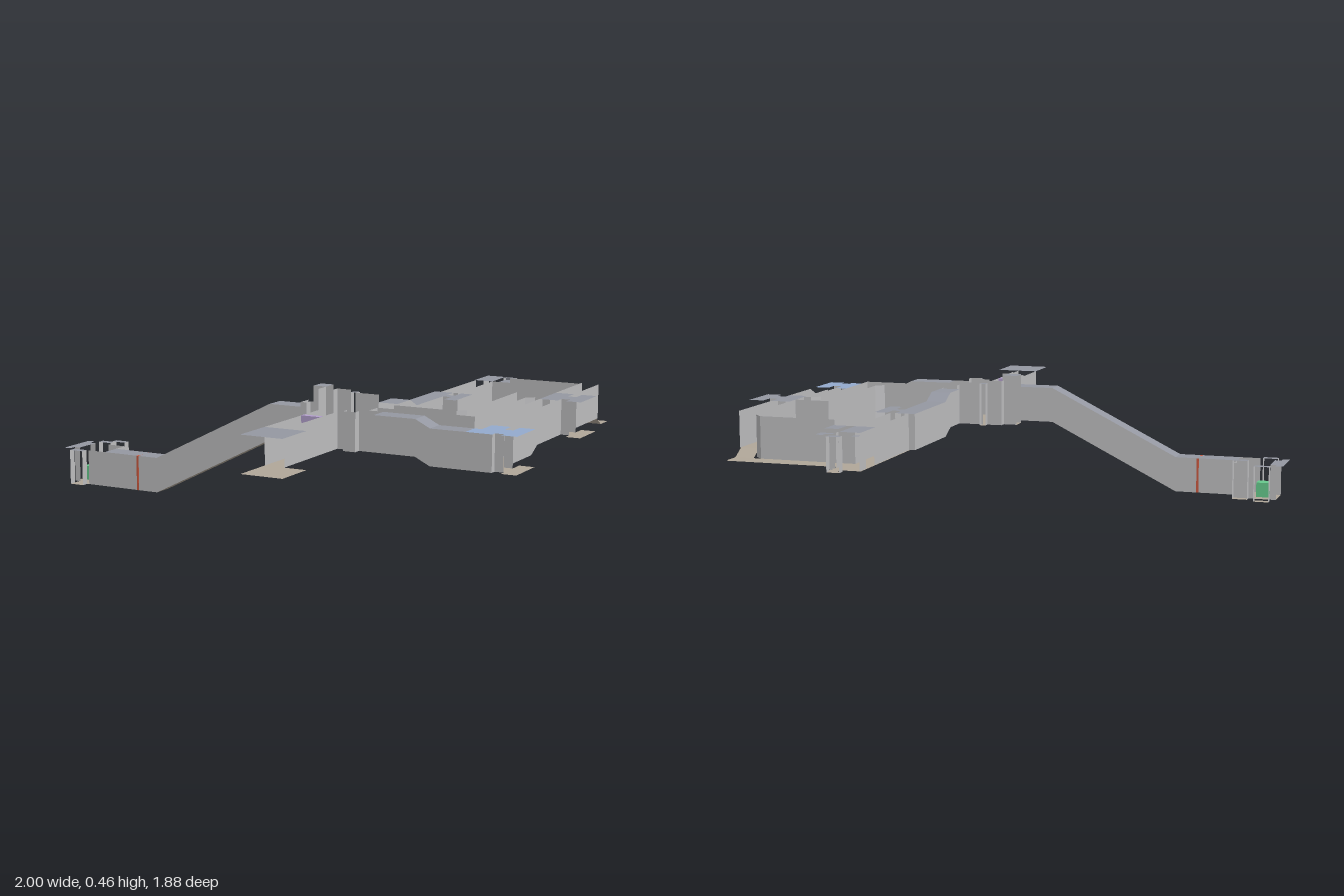
import * as THREE from 'three';

const mat = (name, color) => {
  const m = new THREE.MeshStandardMaterial({ color, side: THREE.DoubleSide, flatShading: true });
  m.name = name;
  return m;
};

export function createModel() {
  const root = new THREE.Group();
  root.name = 'corridorMap';
  const M = {
    floor: mat('floor tan', 0xb0a698),
    ceiling: mat('ceiling grey', 0x9497a1),
    wall: mat('wall grey', 0xbcbcbe),
    blue: mat('room blue', 0x93aacd),
    green: mat('crate green', 0x66c88c),
    purple: mat('door purple', 0xb39fcc),
    red: mat('door red', 0xc8583f),
  };

  const addMesh = (name, geo, m) => {
    const mesh = new THREE.Mesh(geo, m);
    mesh.name = name;
    root.add(mesh);
    return mesh;
  };
  // sheet of quads spanned between two matching 3D polylines
  const ribbon = (name, m, a, b) => {
    const p = [], idx = [];
    a.forEach((v, i) => {
      p.push(...v, ...b[i]);
      if (i) { const k = i * 2; idx.push(k - 2, k - 1, k, k, k - 1, k + 1); }
    });
    const g = new THREE.BufferGeometry();
    g.setAttribute('position', new THREE.Float32BufferAttribute(p, 3));
    g.setIndex(idx);
    const flat = g.toNonIndexed();
    flat.computeVertexNormals();
    return addMesh(name, flat, m);
  };
  // upright wall along [x, z, base?] points
  const wall = (name, pts, base, h = 0.14) => ribbon(name, M.wall,
    pts.map(([x, z, y = base]) => [x, y + h, z]), pts.map(([x, z, y = base]) => [x, y, z]));
  // level plates from [x0, x1, z0, z1]
  const plates = (name, m, y, rects) => rects.forEach(([x0, x1, z0, z1]) =>
    ribbon(name, m, [[x0, y, z0], [x1, y, z0]], [[x0, y, z1], [x1, y, z1]]));
  // strips running along x or z, following [position, height] steps
  const alongX = (name, m, z0, z1, path, lift = 0) => ribbon(name, m,
    path.map(([x, y]) => [x, y + lift, z0]), path.map(([x, y]) => [x, y + lift, z1]));
  const alongZ = (name, m, x0, x1, path, lift = 0) => ribbon(name, m,
    path.map(([z, y]) => [x1, y + lift, z]), path.map(([z, y]) => [x0, y + lift, z]));
  const box = (name, m, [x0, x1], [y0, y1], [z0, z1]) =>
    addMesh(name, new THREE.BoxGeometry(x1 - x0, y1 - y0, z1 - z0), m)
      .position.set((x0 + x1) / 2, (y0 + y1) / 2, (z0 + z1) / 2);
  // alcove: cap, and two side walls; axis is the way it opens
  const alcove = (axis, [x0, x1, z0, z1], y, h) => {
    plates('alcoveCap', M.ceiling, y + h, [[x0, x1, z0, z1]]);
    plates('alcoveFloor', M.floor, y, [[x0, x1, z0, z1]]);
    if (axis === 'x') [z0, z1].forEach(z => wall('alcoveSide', [[x0, z], [x1, z]], y, h));
    else [x0, x1].forEach(x => wall('alcoveSide', [[x, z0], [x, z1]], y, h));
  };

  // ramp corridor
  const ramp = [[-0.8, 0], [-0.55, 0], [-0.03, 0.26], [0.14, 0.26]];
  alongX('rampFloor', M.floor, 0.26, 0.34, ramp);
  alongX('rampCeiling', M.ceiling, 0.26, 0.34, ramp, 0.14);
  [0.26, 0.34].forEach(z => wall('rampWall', ramp.map(([x, y]) => [x, z, y]), 0));
  box('redDoor', M.red, [-0.645, -0.636], [0, 0.14], [0.258, 0.342]);

  // low end room
  plates('endRoomFloor', M.floor, 0, [[-0.95, -0.8, 0.2, 0.34]]);
  alcove('x', [-0.97, -0.945, 0.2, 0.31], 0, 0.14);
  plates('endRoomCap', M.ceiling, 0.14, [[-1, -0.97, 0.17, 0.34]]);
  alcove('z', [-0.95, -0.89, 0.14, 0.17], 0, 0.14);
  alcove('z', [-0.95, -0.89, 0.34, 0.37], 0, 0.14);
  alcove('z', [-0.86, -0.8, 0.17, 0.2], 0, 0.155);
  [0.2, 0.34].forEach(z => wall('endRoomWall', [[-0.88, z], [-0.8, z]], 0));
  wall('endRoomCorner', [[-0.8, 0.2], [-0.8, 0.26]], 0);
  box('greenCrate', M.green, [-0.945, -0.885], [0.002, 0.06], [0.23, 0.28]);

  // junction room
  plates('junctionFloor', M.floor, 0.26, [[0.14, 0.43, 0.11, 0.34], [0.14, 0.165, 0.34, 0.4],
    [0.165, 0.32, 0.34, 0.37], [0.32, 0.37, 0.34, 0.4], [0.37, 0.43, 0.34, 0.37]]);
  wall('junctionWall', [[0.14, 0.34], [0.14, 0.4], [0.165, 0.4], [0.165, 0.37], [0.2, 0.37]], 0.26, 0.17);
  wall('junctionWall', [[0.28, 0.37], [0.32, 0.37]], 0.26, 0.15);
  wall('junctionWall', [[0.32, 0.37], [0.32, 0.4], [0.37, 0.4], [0.37, 0.37]], 0.26, 0.15);
  wall('junctionWall', [[0.37, 0.37], [0.43, 0.37]], 0.26);
  wall('junctionPillar', [[0.14, 0.26], [0.14, 0.2], [0.165, 0.2]], 0.26, 0.2);
  wall('junctionPillar', [[0.14, 0.14], [0.14, 0.11], [0.2, 0.11]], 0.26, 0.18);
  wall('junctionWall', [[0.22, 0.11], [0.32, 0.11]], 0.26, 0.17);
  alcove('x', [0.085, 0.14, 0.14, 0.2], 0.26, 0.2);
  alcove('z', [0.2, 0.225, 0.085, 0.11], 0.26, 0.17);
  wall('junctionWall', [[0.37, 0.29], [0.37, 0.22], [0.43, 0.22]], 0.26);

  // front corridor and landing
  plates('frontFloor', M.floor, 0.26, [[0.2, 0.28, 0.37, 0.77], [0.2, 0.37, 0.77, 0.94]]);
  [0.2, 0.28].forEach(x => wall('frontWall', [[x, 0.37], [x, 0.77]], 0.26));
  plates('landingCeiling', M.ceiling, 0.4, [[0.2, 0.37, 0.77, 0.94]]);
  box('purpleDoor', M.purple, [0.202, 0.278], [0.262, 0.401], [0.485, 0.507]);

  // south corridor
  const south = [[0.37, 0.26], [0.6, 0.26], [0.66, 0.23], [0.83, 0.23]];
  const roofed = [[0.43, 0.26], ...south.slice(1, 3), [0.8, 0.23]];
  alongX('southFloor', M.floor, 0.29, 0.37, south);
  alongX('southCeiling', M.ceiling, 0.29, 0.37, roofed, 0.14);
  [0.29, 0.37].forEach(z => wall('southWall', south.map(([x, y]) => [x, z, y]), 0));

  // side rooms on the east corridor
  const sideRoom = (z0, z1, n0, n1, y, m) => {
    const rects = [[0.905, 0.94, n0, n1], [0.94, 1, z0, z1]];
    plates('sideRoomFloor', M.floor, y, rects);
    plates('sideRoomCeiling', m, y + 0.14, rects);
    [n0, n1].forEach(z => wall('sideRoomWall', [[0.905, z], [0.94, z]], y));
    wall('sideRoomWall', [[0.905, z0], [0.905, n0]], y);
    wall('sideRoomWall', [[0.905, n1], [0.905, z1]], y);
  };
  sideRoom(0.2, 0.37, 0.26, 0.345, 0.23, M.blue);
  sideRoom(-0.43, -0.26, -0.37, -0.3, 0.26, M.ceiling);
  plates('blueCeiling', M.blue, 0.37, [[0.8, 0.905, 0.29, 0.37], [0.83, 0.905, 0.2, 0.29]]);
  plates('blueRoomFloor', M.floor, 0.23, [[0.83, 0.905, 0.2, 0.37]]);
  wall('blueRoomWall', [[0.83, 0.37], [0.905, 0.37]], 0.23);
  plates('eastCeiling', M.ceiling, 0.4, [[0.83, 0.905, -0.43, -0.26]]);

  // east corridor
  const east = [[0.29, 0.23], [0, 0.23], [-0.06, 0.26], [-0.7, 0.26], [-0.75, 0.23]];
  alongZ('eastFloor', M.floor, 0.83, 0.905, east);
  wall('eastInnerWall', [[0.83, 0.29, 0.23], [0.83, 0, 0.23], [0.83, -0.06, 0.26], [0.83, -0.29, 0.26]], 0);
  wall('eastInnerWall', [[0.83, -0.37], [0.83, -0.72]], 0.26);
  wall('eastOuterWall', [[0.905, 0.2, 0.23], [0.905, 0, 0.23], [0.905, -0.06, 0.26], [0.905, -0.26, 0.26]], 0);
  wall('eastOuterWall', [[0.905, -0.43], [0.905, -0.71]], 0.26);

  // inner corridor with chamfered turns
  plates('innerFloor', M.floor, 0.26, [[0.43, 0.77, 0.14, 0.22], [0.69, 0.77, -0.37, 0.14],
    [0.77, 0.83, -0.37, -0.29]]);
  ribbon('innerFloorCorner', M.floor, [[0.66, 0.26, 0.14], [0.69, 0.26, 0.11]], [[0.69, 0.26, 0.14], [0.69, 0.26, 0.14]]);
  ribbon('innerFloorCorner', M.floor, [[0.77, 0.26, -0.26], [0.8, 0.26, -0.29]], [[0.77, 0.26, -0.29], [0.77, 0.26, -0.29]]);
  wall('innerWall', [[0.43, 0.22], [0.77, 0.22], [0.77, -0.26], [0.8, -0.29], [0.83, -0.29]], 0.26);
  wall('innerWall', [[0.4, 0.14], [0.66, 0.14], [0.69, 0.11], [0.69, -0.37], [0.83, -0.37]], 0.26);

  // back corridor
  const back = [[0.11, 0.26], [0, 0.26], [-0.06, 0.23], [-0.4, 0.23]];
  alongZ('backFloor', M.floor, 0.32, 0.4, back);
  alongZ('backCeiling', M.ceiling, 0.32, 0.4, back, 0.14);
  wall('backWestWall', back.map(([z, y]) => [0.32, z, y]), 0);
  wall('backEastWall', [[0.4, 0.14, 0.26], [0.4, 0, 0.26], [0.4, -0.06, 0.23], [0.4, -0.3, 0.23]], 0);
  wall('backEastWall', [[0.4, -0.34], [0.4, -0.4], [0.42, -0.4]], 0.23);
  alcove('x', [0.4, 0.435, -0.34, -0.3], 0.23, 0.14);
  plates('backRoomCeiling', M.ceiling, 0.37, [[0.435, 0.485, -0.4, -0.235]]);
  plates('backRoomFloor', M.floor, 0.23, [[0.435, 0.485, -0.4, -0.235], [0.34, 0.42, -0.89, -0.4]]);
  wall('backWestWall', [[0.32, -0.4], [0.345, -0.4], [0.345, -0.75]], 0.23);
  wall('backEastWall', [[0.42, -0.4], [0.42, -0.75], [0.5, -0.75]], 0.23);

  // far end room
  plates('farCeiling', M.ceiling, 0.37, [[0.34, 0.42, -0.89, -0.75], [0.45, 0.505, -0.83, -0.75]]);
  plates('farFloor', M.floor, 0.23, [[0.42, 0.46, -0.92, -0.75]]);
  alcove('z', [0.4, 0.45, -0.945, -0.915], 0.23, 0.13);
  alcove('x', [0.45, 0.475, -0.89, -0.865], 0.23, 0.13);
  plates('farCap', M.ceiling, 0.36, [[0.475, 0.505, -0.915, -0.865], [0.34, 0.365, -0.915, -0.89]]);
  wall('farWall', [[0.345, -0.83], [0.345, -0.89]], 0.23);
  wall('farWall', [[0.45, -0.83], [0.45, -0.855]], 0.23, 0.13);

  // north corridor
  plates('northFloor', M.floor, 0.23, [[0.45, 0.905, -0.83, -0.75]]);
  wall('northWall', [[0.5, -0.75], [0.8, -0.75], [0.83, -0.72]], 0.23, 0.16);

  return root;
}
